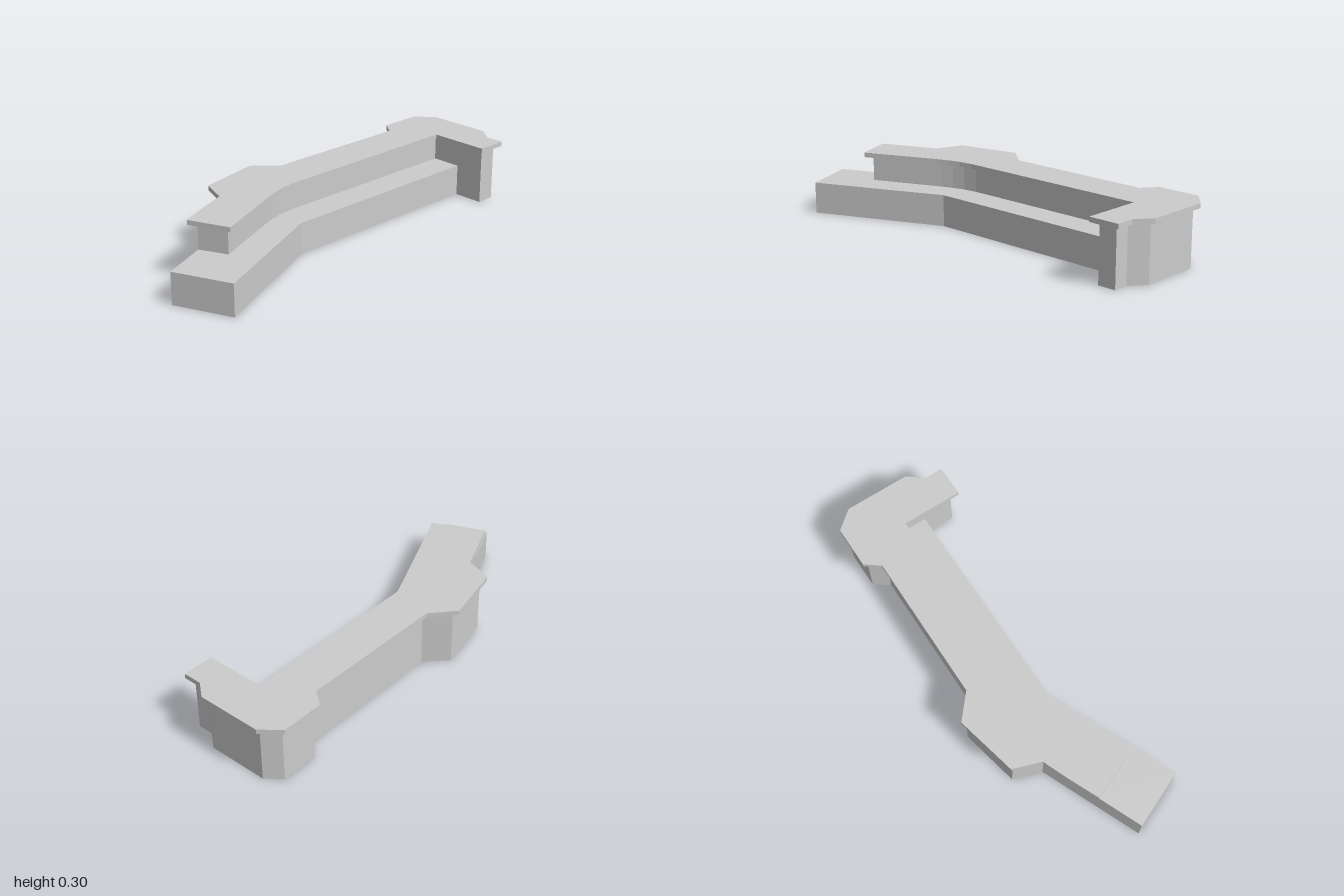
import * as THREE from 'three';

const material = new THREE.MeshStandardMaterial({ color: 0xcccccc, flatShading: true });

// Extrudes a plan outline of [x, z] corners between two heights.
function slab(name, plan, bottom, top) {
  const shape = new THREE.Shape(plan.map(([x, z]) => new THREE.Vector2(x, z)));
  const geometry = new THREE.ExtrudeGeometry(shape, { depth: top - bottom, bevelEnabled: false });
  geometry.rotateX(Math.PI / 2).translate(0, top, 0);
  const mesh = new THREE.Mesh(geometry, material);
  mesh.name = name;
  return mesh;
}

// Inner front face of the wall, shared with the ledge: end, gentle bend, straight run
const wallFront = [
  [-0.715, 0.115], [-0.38, -0.028], [-0.32, -0.05], [-0.26, -0.066], [-0.19, -0.075], [0.82, -0.075],
];
const wallEnd = [-0.775, -0.016];

// Wall with the angled rear bay and the end pier
const wallPlan = [
  wallEnd, ...wallFront,
  [0.82, 0.227], [0.91, 0.227], [0.91, 0.153], [0.97, 0.078],
  [0.97, -0.22], [0.912, -0.293], [0.73, -0.293], [0.675, -0.22],
  [-0.085, -0.224], [-0.182, -0.325], [-0.47, -0.264], [-0.517, -0.126],
];

// Low ledge along the front, running out past the wall's end
const ledgePlan = [
  [-1, 0.08], [-0.885, 0.351], [-0.258, 0.076], [0.82, 0.076],
  ...[...wallFront].reverse(), wallEnd,
];

// Overhanging counter top
const topPlan = [
  [-0.815, -0.035], [-0.735, 0.157], [-0.38, 0.004], [-0.32, -0.018], [-0.26, -0.034], [-0.19, -0.043],
  [0.787, -0.043], [0.787, 0.255], [0.94, 0.255], [0.94, 0.162], [1, 0.088],
  [1, -0.23], [0.925, -0.322], [0.715, -0.322], [0.66, -0.25],
  [-0.075, -0.254], [-0.19, -0.355], [-0.493, -0.288], [-0.542, -0.15], [-0.66, -0.103],
];

export function createModel() {
  const group = new THREE.Group();
  group.name = 'counter';
  group.add(
    slab('ledge', ledgePlan, 0, 0.154),
    slab('wall', wallPlan, 0, 0.275),
    slab('counterTop', topPlan, 0.275, 0.298),
  );
  return group;
}
